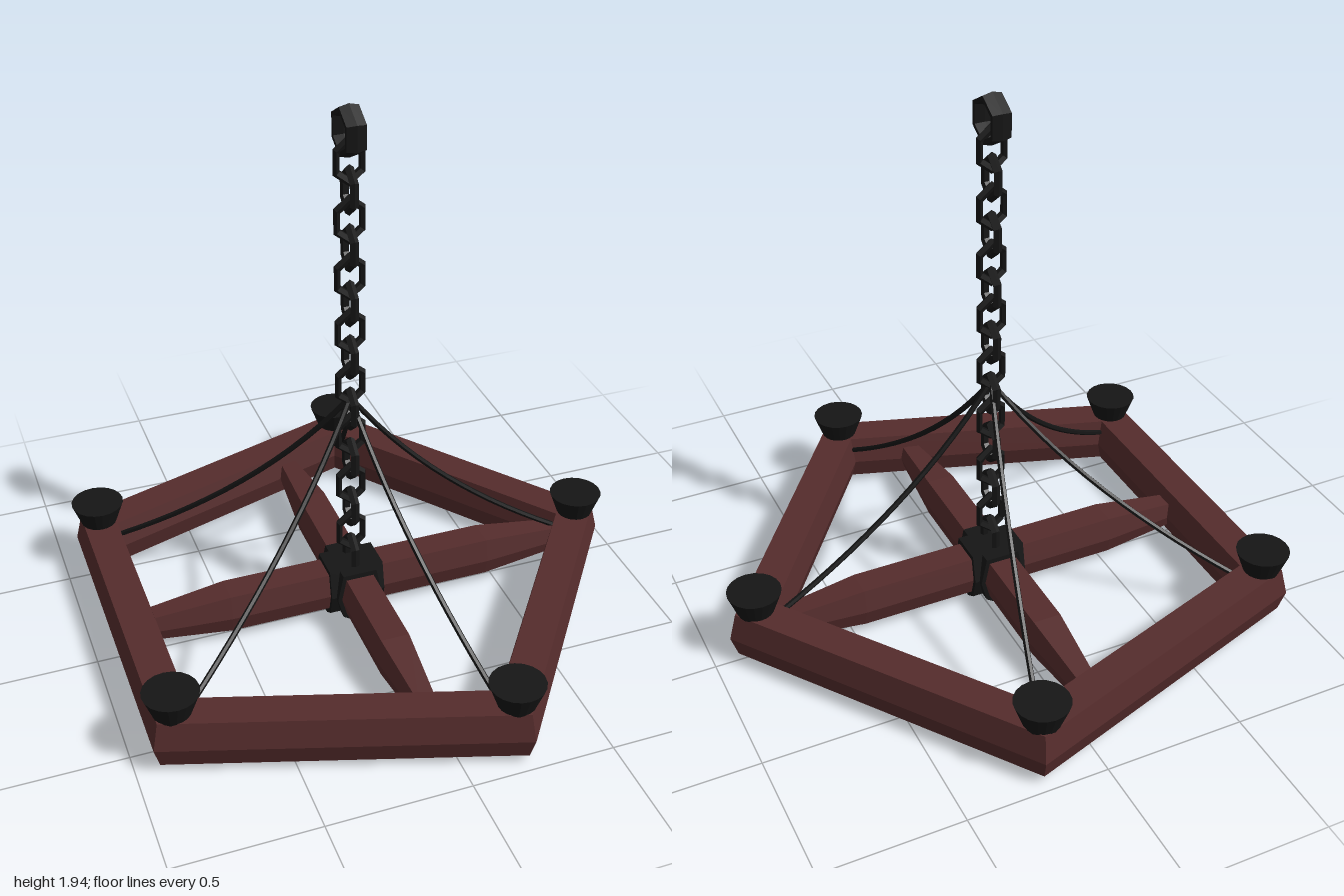
import * as THREE from 'three';

const MID_Y = 0.105;
const RING_X = -0.1;   // centre of the five-sided ring
const CHAIN_X = -0.055; // centre of the chain and hub
const CORNER_R = 0.94;

// Timber cross-section, counter-clockwise: [across, up]
const SECTION = [
  [-0.02, -0.1], [0.02, -0.1], [0.06, -0.075], [0.08, 0],
  [0.06, 0.098], [-0.06, 0.098], [-0.08, 0], [-0.06, -0.075],
];

// Sweep the section along z through stations of [z, scale]
function loft(stations) {
  const pos = [], index = [], n = SECTION.length;
  for (const [z, s] of stations) for (const [u, v] of SECTION) pos.push(u * s, v * s, z);
  for (let i = 0; i < stations.length - 1; i++) {
    for (let j = 0; j < n; j++) {
      const a = i * n + j, b = i * n + (j + 1) % n;
      index.push(a, b, b + n, a, b + n, a + n);
    }
  }
  const geo = new THREE.BufferGeometry();
  geo.setAttribute('position', new THREE.Float32BufferAttribute(pos, 3));
  geo.setIndex(index);
  geo.computeVertexNormals();
  return geo;
}

export function createModel() {
  const model = new THREE.Group();
  model.name = 'chandelier';
  const wood = new THREE.MeshStandardMaterial({ color: 0x552c2c, flatShading: true });
  const iron = new THREE.MeshStandardMaterial({ color: 0x151515, flatShading: true });

  const add = (name, geo, mat, x = 0, y = 0, z = 0) => {
    const mesh = new THREE.Mesh(geo, mat);
    mesh.name = name;
    mesh.position.set(x, y, z);
    model.add(mesh);
    return mesh;
  };

  // Five-sided mitred timber ring
  const profile = [...SECTION, SECTION[0]].map(([u, v]) =>
    new THREE.Vector2(CORNER_R + u / Math.cos(Math.PI / 5), v));
  add('timberRing', new THREE.LatheGeometry(profile, 5, Math.PI / 2), wood, RING_X, MID_Y, 0);

  // Tapered cross beams
  const beamX = loft([[-0.735, 0], [-0.735, 0.55], [-0.465, 0.85], [0.515, 0.85], [0.835, 0.5], [0.835, 0]]);
  add('longCrossBeam', beamX, wood, CHAIN_X, MID_Y, -0.005).rotation.y = Math.PI / 2;
  const beamZ = loft([[-0.75, 0], [-0.75, 0.5], [-0.45, 0.85], [0.45, 0.85], [0.75, 0.5], [0.75, 0]]);
  add('shortCrossBeam', beamZ, wood, CHAIN_X, MID_Y, -0.005);

  // Iron collars wrapping the crossing
  const collar = loft([[-0.1, 0], [-0.1, 1.04], [0.1, 1.04], [0.1, 0]]);
  for (const turn of [0, Math.PI / 2]) {
    add('hubCollar', collar, iron, CHAIN_X, MID_Y, -0.005).rotation.y = turn;
  }

  // Candle cups and sagging stays at each corner
  const cup = new THREE.LatheGeometry(
    [[0, 0.165], [0.04, 0.168], [0.06, 0.19], [0.095, 0.285], [0, 0.285]]
      .map(([r, y]) => new THREE.Vector2(r, y)), 20);
  for (let i = 0; i < 5; i++) {
    const a = i * Math.PI * 2 / 5, c = Math.cos(a), s = Math.sin(a);
    add('candleCup', cup, iron, RING_X + CORNER_R * c, 0, -CORNER_R * s);

    const top = new THREE.Vector3(CHAIN_X, 0.89, 0);
    const end = new THREE.Vector3(RING_X + 0.85 * c, 0.16, -0.85 * s);
    const sag = top.clone().lerp(end, 0.36).setY(0.47);
    const curve = new THREE.QuadraticBezierCurve3(top, sag, end);
    add('stay', new THREE.TubeGeometry(curve, 14, 0.01, 6), iron);
  }

  // Chain of elongated hexagonal links, alternating by a quarter turn
  const link = new THREE.TorusGeometry(0.065, 0.016, 5, 6);
  link.rotateZ(Math.PI / 6);
  link.scale(0.78, 1.1, 1);
  for (let i = 0; i < 16; i++) {
    const mesh = add('chainLink', link, iron, CHAIN_X, 0.235 + i * 0.1015, 0);
    mesh.rotation.y = i % 2 ? 0 : Math.PI / 2;
  }

  // Broad hanging ring
  const ring = new THREE.TorusGeometry(0.074, 0.016, 6, 6);
  ring.rotateZ(Math.PI / 6);
  ring.scale(1, 1, 2.4);
  add('hangingRing', ring, iron, CHAIN_X, 1.856, 0).rotation.y = Math.PI / 2;

  return model;
}
